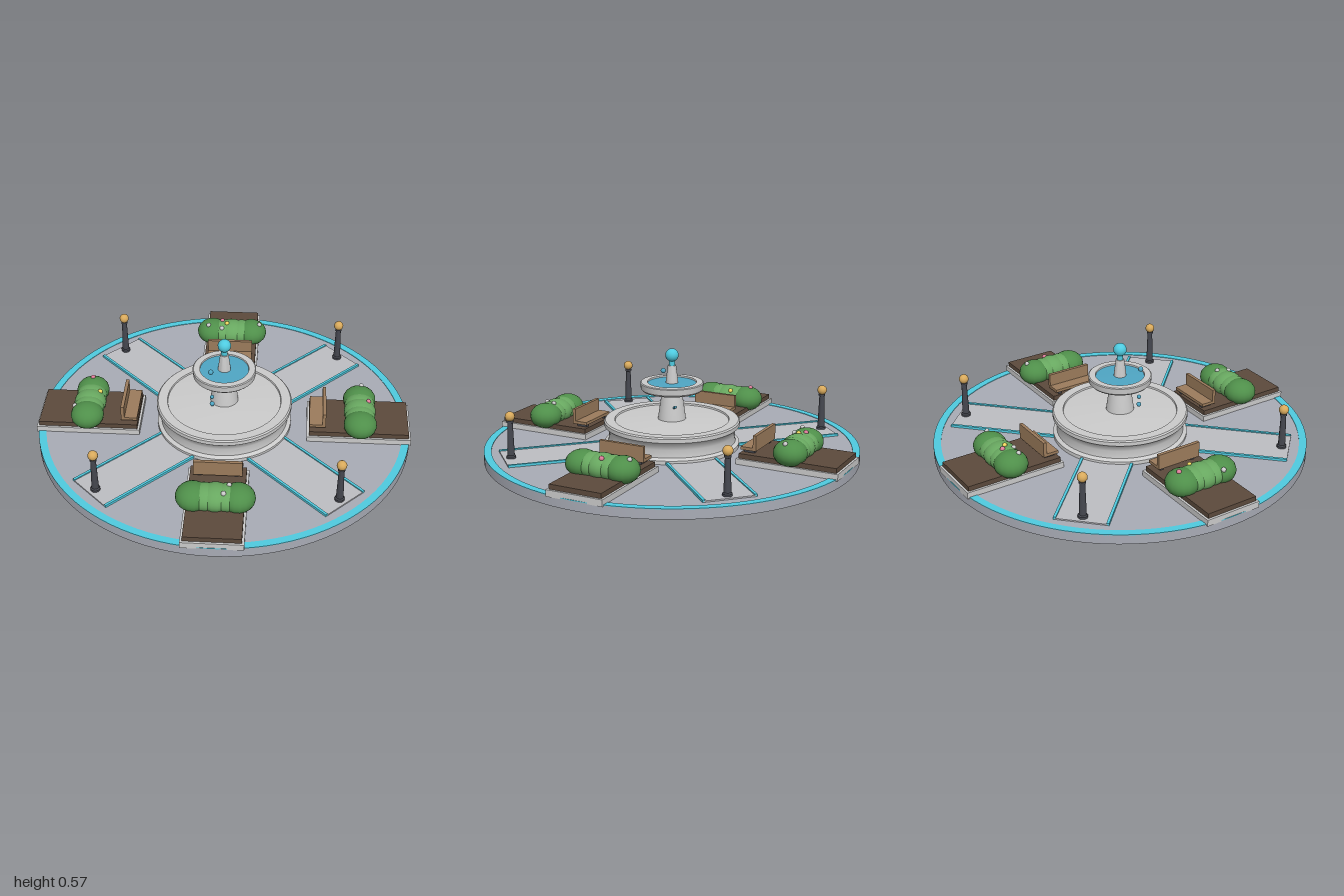
import * as THREE from 'three';
import { toCreasedNormals } from 'three/addons/utils/BufferGeometryUtils.js';

const mat = (color) => new THREE.MeshStandardMaterial({ color });
const STONE = mat(0xcccccc), PAVING = mat(0xa9acb6), PATH = mat(0xbdbec3), TEAL = mat(0x4fcbe0),
  WATER = mat(0x4fa6c4), SOIL = mat(0x5c4a3c), WOOD = mat(0x9c7c5c), IRON = mat(0x45474f),
  GOLD = mat(0xd9aa5c), LEAF = mat(0x4f8f4a), LEAF_LIGHT = mat(0x68a860),
  PINK = mat(0xe07f9c), WHITE = mat(0xf2f2f2), YELLOW = mat(0xf0d860);

function add(parent, name, geometry, material, x = 0, y = 0, z = 0) {
  const mesh = new THREE.Mesh(geometry, material);
  mesh.name = name;
  mesh.position.set(x, y, z);
  parent.add(mesh);
  return mesh;
}

// Box given by its bottom and top heights
const slab = (parent, name, material, w, y0, y1, d, x = 0, z = 0) =>
  add(parent, name, new THREE.BoxGeometry(w, y1 - y0, d), material, x, (y0 + y1) / 2, z);

// Turned part with crisp edges; profile runs from the bottom up the outside
const turned = (parent, name, material, profile, segments = 64) =>
  add(parent, name, toCreasedNormals(new THREE.LatheGeometry(
    profile.map(([r, y]) => new THREE.Vector2(r, y)), segments), 0.6), material);

const ball = (parent, name, material, r, x, y, z, segments = 16) =>
  add(parent, name, new THREE.SphereGeometry(r, segments, Math.ceil(segments * 0.75)), material, x, y, z);

function plaza(root) {
  turned(root, 'plazaDisc', PAVING, [[0, 0], [1, 0], [1, 0.05], [0, 0.05]], 96);
  turned(root, 'plazaRim', TEAL, [[1, 0.049], [1, 0.053], [0.96, 0.053], [0.96, 0.049]], 96);
}

// One of four radial paths with edging strips and a lamp at its end
function pathArm(root, angle) {
  const arm = new THREE.Group();
  arm.name = 'pathArm';
  arm.rotation.y = angle;
  root.add(arm);
  slab(arm, 'path', PATH, 0.26, 0.045, 0.057, 0.61, 0, 0.605);
  for (const s of [-1, 1]) slab(arm, 'pathEdging', TEAL, 0.014, 0.045, 0.063, 0.61, s * 0.131, 0.605);

  const lamp = new THREE.Group();
  lamp.name = 'lamp';
  lamp.position.z = 0.87;
  arm.add(lamp);
  turned(lamp, 'lampPost', IRON,
    [[0, 0.05], [0.025, 0.05], [0.025, 0.068], [0.019, 0.074], [0.014, 0.245], [0.018, 0.247], [0.018, 0.258], [0, 0.258]], 16);
  ball(lamp, 'lampGlobe', GOLD, 0.026, 0, 0.279, 0);
}

function fountain(root) {
  const f = new THREE.Group();
  f.name = 'fountain';
  root.add(f);
  turned(f, 'basin', STONE, [[0.36, 0.05], [0.36, 0.07], [0.34, 0.08], [0.335, 0.12], [0.345, 0.15],
    [0.362, 0.165], [0.362, 0.186], [0.355, 0.193], [0.305, 0.193], [0.302, 0.182]]);
  turned(f, 'basinFloor', STONE, [[0.305, 0.184], [0.22, 0.189], [0.12, 0.193], [0, 0.195]]);
  turned(f, 'pedestal', STONE, [[0.076, 0.18], [0.07, 0.23], [0.058, 0.31], [0.05, 0.36]], 32);
  turned(f, 'upperBowl', STONE, [[0, 0.35], [0.155, 0.35], [0.165, 0.36], [0.168, 0.392], [0.163, 0.396],
    [0.13, 0.396], [0.127, 0.38]], 48);
  turned(f, 'upperWater', WATER, [[0.132, 0.388], [0, 0.392]], 48);
  turned(f, 'finialColumn', STONE, [[0.034, 0.38], [0.032, 0.41], [0.022, 0.485], [0, 0.485]], 24);
  turned(f, 'finialNeck', TEAL, [[0.017, 0.48], [0.017, 0.52]], 16);
  ball(f, 'finialBall', TEAL, 0.035, 0, 0.54, 0, 24);
  // Water drops
  for (const [x, y, r] of [[-0.108, 0.43, 0.014], [-0.1, 0.265, 0.011], [-0.1, 0.22, 0.013],
    [0.085, 0.275, 0.007], [0.11, 0.285, 0.007]]) ball(f, 'waterDrop', WATER, r, x, y, 0.015, 10);
}

const HEDGE_R = 0.727, HEDGE_Y = 0.14, SQUASH = 0.78;
const LOBES = [[-0.112, 0.088], [-0.055, 0.082], [0, 0.086], [0.055, 0.082], [0.112, 0.088]];

// Height of the hedge surface at a local point
function hedgeTop(x, z) {
  let top = HEDGE_Y;
  for (const [lx, r] of LOBES) {
    const h = r * r - (x - lx) ** 2 - (z - HEDGE_R) ** 2;
    if (h > 0) top = Math.max(top, HEDGE_Y + SQUASH * Math.sqrt(h));
  }
  return top;
}

// Diagonal planter: local +z points outwards
function planter(root, angle, flowers) {
  const p = new THREE.Group();
  p.name = 'planter';
  p.rotation.y = angle;
  root.add(p);
  slab(p, 'planterCurb', STONE, 0.312, 0.045, 0.08, 0.551, 0, 0.7215);
  slab(p, 'planterSoil', SOIL, 0.288, 0.075, 0.106, 0.527, 0, 0.7215);

  // Bench facing the fountain
  slab(p, 'benchSeat', WOOD, 0.25, 0.122, 0.138, 0.075, 0, 0.497);
  slab(p, 'benchBack', WOOD, 0.25, 0.122, 0.205, 0.018, 0, 0.536);
  for (const s of [-1, 1]) slab(p, 'benchLeg', IRON, 0.02, 0.1, 0.124, 0.06, s * 0.095, 0.5);

  LOBES.forEach(([x, r], i) => {
    const lobe = ball(p, 'hedgeLobe', i === 0 || i === 4 ? LEAF : LEAF_LIGHT, r, x, HEDGE_Y, HEDGE_R, 18);
    lobe.scale.y = SQUASH;
  });

  // Flowers are listed by plaza x and z
  const c = Math.cos(angle), s = Math.sin(angle);
  for (const [wx, wz, material] of flowers) {
    const x = wx * c - wz * s, z = wx * s + wz * c;
    ball(p, 'flower', material, 0.013, x, hedgeTop(x, z), z, 10);
  }
}

export function createModel() {
  const root = new THREE.Group();
  root.name = 'fountainPlaza';
  plaza(root);
  fountain(root);
  for (let i = 0; i < 4; i++) pathArm(root, i * Math.PI / 2);
  const beds = [
    [[0.56, 0.53, PINK], [0.63, 0.41, WHITE]],
    [[0.395, -0.585, WHITE], [0.44, -0.52, WHITE], [0.485, -0.565, PINK], [0.485, -0.525, YELLOW], [0.62, -0.395, WHITE]],
    [[-0.42, -0.61, PINK], [-0.455, -0.5, YELLOW], [-0.625, -0.5, WHITE]],
    [[-0.51, 0.57, WHITE], [-0.45, 0.545, WHITE]],
  ];
  beds.forEach((flowers, i) => planter(root, Math.PI / 4 + i * Math.PI / 2, flowers));
  return root;
}
